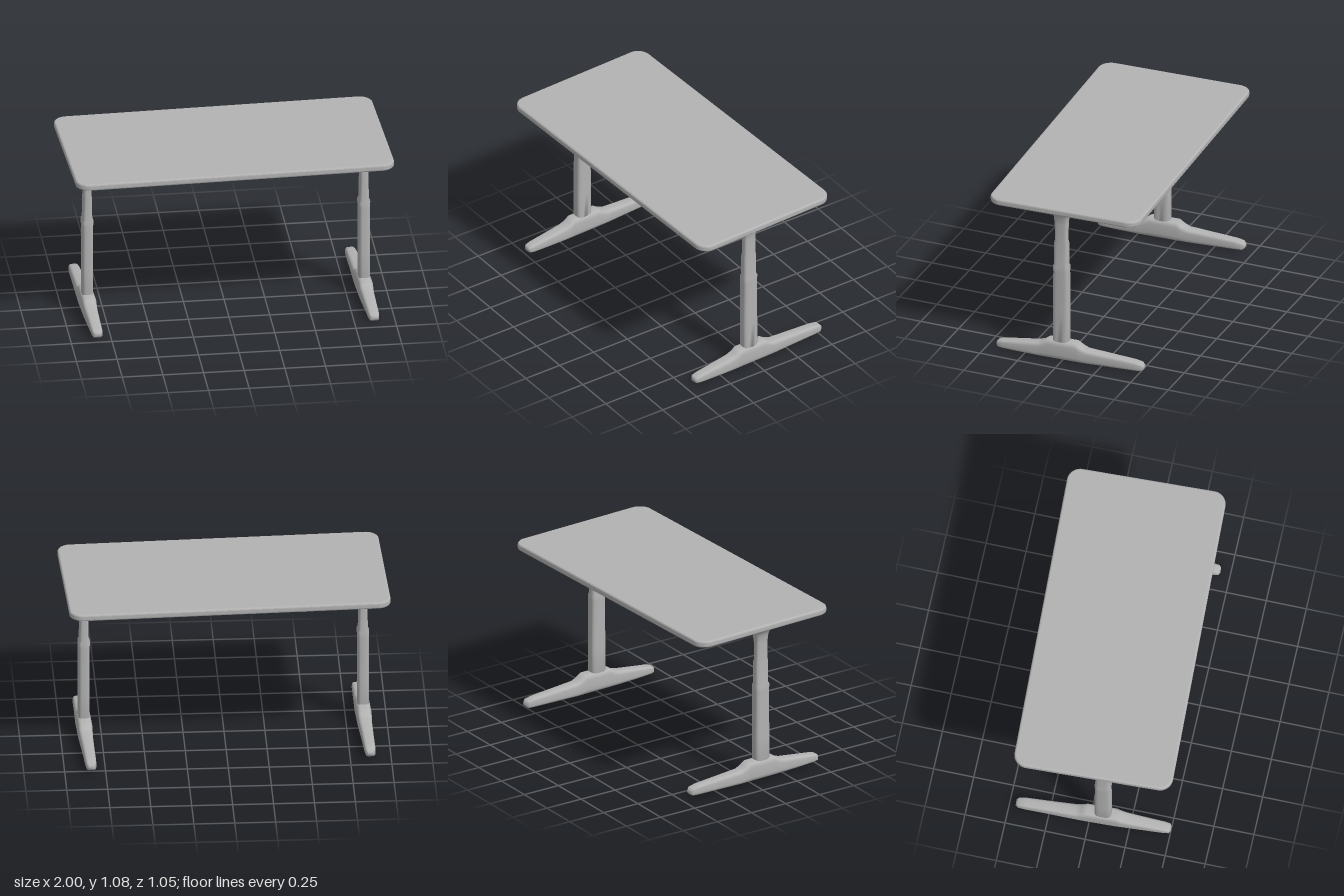
import * as THREE from 'three';

const STEPS = 24;

// Rounded-rectangle ring: at(u, v) turns unit outline coordinates into a point.
function ring(at) {
  const pts = [];
  for (let i = 0; i < STEPS; i++) {
    const a = (i / STEPS) * Math.PI * 2;
    const soft = (t) => Math.sign(t) * Math.pow(Math.abs(t), 0.55);
    pts.push(at(soft(Math.cos(a)), soft(Math.sin(a))));
  }
  return pts;
}

// Skin a list of rings and close both ends.
function loft(rings) {
  const pos = [], idx = [];
  rings.forEach((r) => r.forEach((p) => pos.push(...p)));
  for (let k = 0; k < rings.length - 1; k++) {
    for (let i = 0; i < STEPS; i++) {
      const j = (i + 1) % STEPS;
      const a = k * STEPS + i, b = k * STEPS + j;
      idx.push(a, b, b + STEPS, a, b + STEPS, a + STEPS);
    }
  }
  const last = (rings.length - 1) * STEPS;
  for (let i = 1; i < STEPS - 1; i++) {
    idx.push(0, i + 1, i, last, last + i, last + i + 1);
  }
  const g = new THREE.BufferGeometry();
  g.setAttribute('position', new THREE.Float32BufferAttribute(pos, 3));
  g.setIndex(idx);
  g.computeVertexNormals();
  return g;
}

// Column sections: height, half width in x, half depth in z
const COLUMN = [
  [0.08, 0.035, 0.052], [0.3, 0.035, 0.052], [0.6, 0.035, 0.05], [0.635, 0.038, 0.052],
  [0.65, 0.03, 0.045], [0.79, 0.027, 0.046], [0.81, 0.026, 0.041], [0.92, 0.026, 0.042],
  [0.97, 0.033, 0.046], [1.0, 0.046, 0.054], [1.02, 0.068, 0.07], [1.045, 0.11, 0.1],
];

// Foot sections: z, half width, bottom, top
const FOOT = [
  [-0.49, 0.018, 0.022, 0.046], [-0.475, 0.03, 0.01, 0.062], [-0.43, 0.034, 0.008, 0.07],
  [-0.28, 0.037, 0.004, 0.08], [-0.12, 0.042, 0, 0.09], [-0.085, 0.044, 0, 0.105],
  [-0.05, 0.046, 0, 0.128], [0.13, 0.046, 0, 0.128], [0.16, 0.044, 0, 0.106],
  [0.2, 0.042, 0, 0.092], [0.33, 0.037, 0.002, 0.074], [0.43, 0.034, 0.006, 0.06],
  [0.46, 0.03, 0.01, 0.052], [0.47, 0.018, 0.018, 0.042],
];

// Rounded-corner slab, lying flat with its top at y = 0
function slabGeometry(w, d, r, thick, bevel) {
  const x = w / 2 - bevel, y = d / 2 - bevel, s = new THREE.Shape();
  s.moveTo(-x + r, -y);
  s.lineTo(x - r, -y);
  s.absarc(x - r, -y + r, r, -Math.PI / 2, 0);
  s.absarc(x - r, y - r, r, 0, Math.PI / 2);
  s.absarc(-x + r, y - r, r, Math.PI / 2, Math.PI);
  s.absarc(-x + r, -y + r, r, Math.PI, Math.PI * 1.5);
  const g = new THREE.ExtrudeGeometry(s, {
    depth: thick - 2 * bevel, bevelEnabled: true, bevelSize: bevel,
    bevelThickness: bevel, bevelSegments: 3, curveSegments: 8,
  });
  g.rotateX(-Math.PI / 2);
  g.translate(0, bevel - thick, 0);
  return g;
}

export function createModel() {
  const grey = new THREE.MeshStandardMaterial({ color: 0xb2b2b2 });
  grey.name = 'plain grey';
  const desk = new THREE.Group();
  desk.name = 'desk';
  const add = (parent, name, geometry) => {
    const m = new THREE.Mesh(geometry, grey);
    m.name = name;
    parent.add(m);
    return m;
  };

  // Tabletop, very slightly out of level
  const top = add(desk, 'tabletop', slabGeometry(1.968, 0.982, 0.07, 0.042, 0.012));
  top.position.y = 1.08;
  top.rotation.z = -0.003;

  // Pair of T-shaped legs
  const columnGeometry = loft(COLUMN.map(([y, hx, hz]) =>
    ring((u, v) => [u * hx, y, 0.05 - v * hz])));
  const footGeometry = loft(FOOT.map(([z, hw, lo, hi]) =>
    ring((u, v) => [u * hw, (lo + hi) / 2 + v * (hi - lo) / 2, z])));
  for (const side of [-1, 1]) {
    const leg = new THREE.Group();
    leg.name = side > 0 ? 'leftLeg' : 'rightLeg';
    leg.position.x = side * 0.855;
    add(leg, 'column', columnGeometry);
    add(leg, 'foot', footGeometry).position.y = side > 0 ? 0.002 : 0.02;
    desk.add(leg);
  }

  // Soft swellings under the top: name, centre x, z, radii x, y, z
  const swellings = [
    ['frontControlHousing', 0.57, 0.3, 0.2, 0.04, 0.1],
    ['rearCableHousing', -0.45, -0.4, 0.2, 0.027, 0.07],
    ['leftTopBracket', 0.8, 0.03, 0.12, 0.022, 0.36],
    ['rightTopBracket', -0.8, 0.03, 0.12, 0.022, 0.36],
  ];
  for (const [name, x, z, rx, ry, rz] of swellings) {
    const g = new THREE.SphereGeometry(1, 24, 8, 0, Math.PI * 2, Math.PI / 2, Math.PI / 2);
    add(desk, name, g.scale(rx, ry, rz)).position.set(x, 1.041, z);
  }

  // The whole desk stands turned a little
  desk.rotation.y = 0.037;
  const model = new THREE.Group();
  model.name = 'model';
  model.add(desk);
  return model;
}
